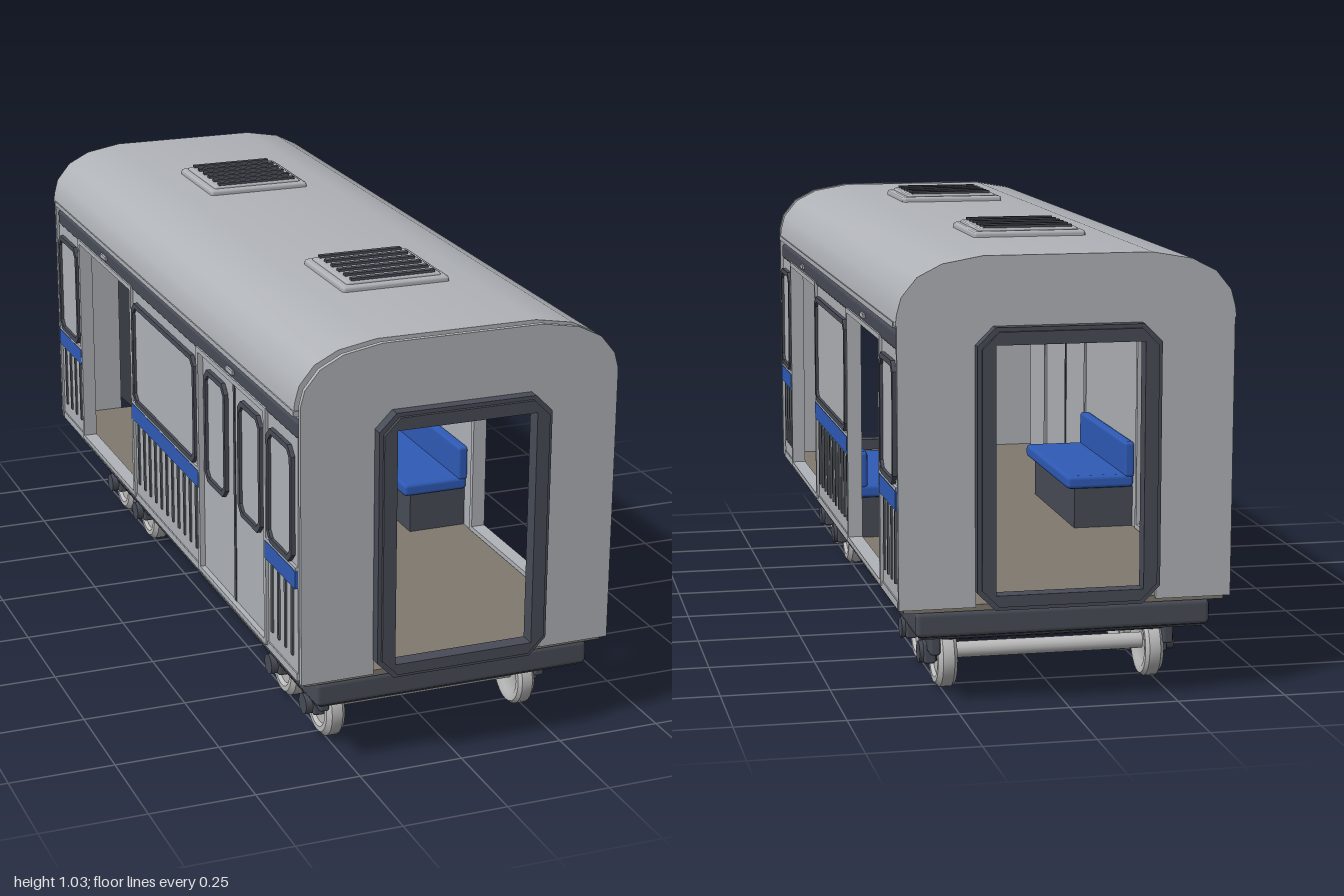
import * as THREE from 'three';
import { toCreasedNormals } from 'three/addons/utils/BufferGeometryUtils.js';
import { RoundedBoxGeometry } from 'three/addons/geometries/RoundedBoxGeometry.js';

const mat = (name, color) => new THREE.MeshStandardMaterial({ name, color });

export function createModel() {
  const silver = mat('silver panel', 0xb0b3b8);
  const slate = mat('dark slate', 0x484c56);
  const blue = mat('blue', 0x2f5bb7);
  const tan = mat('floor tan', 0x7f796e);
  const steel = mat('wheel steel', 0xbcbcbc);
  const groove = mat('groove grey', 0x5c6066);
  const black = mat('underside', 0x36383e);

  const car = new THREE.Group();
  car.name = 'railCar';

  const add = (parent, name, geo, m, x = 0, y = 0, z = 0) => {
    const mesh = new THREE.Mesh(geo, m);
    mesh.name = name;
    mesh.position.set(x, y, z);
    parent.add(mesh);
    return mesh;
  };
  // Box given by its limits on each axis
  const box = (parent, name, m, x0, x1, y0, y1, z0, z1, r = 0) => {
    const [w, h, d] = [x1 - x0, y1 - y0, z1 - z0];
    const geo = r ? new RoundedBoxGeometry(w, h, d, 1, r) : new THREE.BoxGeometry(w, h, d);
    return add(parent, name, geo, m, (x0 + x1) / 2, (y0 + y1) / 2, (z0 + z1) / 2);
  };
  const poly = (pts) => pts.map(([x, y]) => new THREE.Vector2(x, y));
  const extrude = (outer, hole, depth) => {
    const s = new THREE.Shape(poly(outer));
    if (hole) s.holes.push(new THREE.Path(poly(hole)));
    return toCreasedNormals(new THREE.ExtrudeGeometry(s, { depth, bevelEnabled: false }), 0.7);
  };
  // Rectangle with cut corners, counter-clockwise
  const octagon = (x0, x1, y0, y1, c) => [
    [x0 + c, y0], [x1 - c, y0], [x1, y0 + c], [x1, y1 - c],
    [x1 - c, y1], [x0 + c, y1], [x0, y1 - c], [x0, y0 + c]];
  const rect = (x0, x1, y0, y1) => [[x0, y0], [x1, y0], [x1, y1], [x0, y1]];

  // Curved roof shell
  const half = [[0.383, 0.86], [0.38, 0.885], [0.37, 0.922], [0.335, 0.965], [0.28, 0.993], [0.19, 1.009]];
  const arch = [...half, ...half.map(([x, y]) => [-x, y]).reverse()];
  const inner = arch.map(([x, y]) => [x * 0.965, y > 0.87 ? y - 0.012 : y]).reverse();
  add(car, 'roof', extrude([...arch, ...inner], null, 1.895), silver, 0, 0, -0.965);

  // Roof vents with slats
  for (const s of [1, -1]) {
    const z = s * 0.462;
    box(car, 'roofVent', silver, -0.133, 0.133, 0.995, 1.022, z - 0.128, z + 0.128, 0.008);
    box(car, 'roofVentTop', silver, -0.118, 0.118, 1.01, 1.028, z - 0.113, z + 0.113, 0.006);
    for (let i = 0; i < 6; i++) {
      const sz = z + (i - 2.5) * 0.04;
      box(car, 'ventSlat', slate, -0.104, 0.104, 1.026, 1.034, sz - 0.007, sz + 0.007);
    }
  }

  // End walls with gangway frames
  const wall = [
    [-0.378, 0.23], [-0.205, 0.23], [-0.205, 0.81], [-0.165, 0.85], [0.165, 0.85],
    [0.205, 0.81], [0.205, 0.23], [0.378, 0.23], [0.38, 0.86], ...arch.slice(1, -1), [-0.38, 0.86]];
  const gangway = octagon(-0.207, 0.207, 0.227, 0.855, 0.04);
  const gangwayLip = octagon(-0.198, 0.198, 0.236, 0.846, 0.038);
  const opening = rect(-0.167, 0.167, 0.262, 0.817);
  for (const s of [1, -1]) {
    const end = new THREE.Group();
    end.name = s > 0 ? 'frontEnd' : 'backEnd';
    end.rotation.y = s > 0 ? 0 : Math.PI;
    add(end, 'endWall', extrude(wall, null, 0.012), silver, 0, 0, 0.953);
    add(end, 'gangwayFrame', extrude(gangway, opening, 0.03), slate, 0, 0, 0.962);
    add(end, 'gangwayLip', extrude(gangwayLip, opening, 0.01), slate, 0, 0, 0.99);
    car.add(end);
  }

  // Floor and underframe
  box(car, 'floor', tan, -0.365, 0.365, 0.22, 0.234, -0.953, 0.953);
  box(car, 'underframe', slate, -0.337, 0.337, 0.16, 0.22, -0.95, 0.95, 0.012);
  box(car, 'underframePlate', black, -0.322, 0.322, 0.155, 0.162, -0.935, 0.935);

  // Window: rounded dark ring, inner lip and glass on local z
  const makeWindow = (parent, u0, u1, y0, y1, z) => {
    add(parent, 'windowFrame', extrude(octagon(u0, u1, y0, y1, 0.022),
      octagon(u0 + 0.013, u1 - 0.013, y0 + 0.013, y1 - 0.013, 0.016), 0.01), slate, 0, 0, z);
    box(parent, 'windowGlass', silver, u0 + 0.01, u1 - 0.01, y0 + 0.01, y1 - 0.01, z, z + 0.003);
  };

  // Side walls: local x runs along the car, local z points outward
  for (const s of [1, -1]) {
    const side = new THREE.Group();
    side.name = s > 0 ? 'leftSide' : 'rightSide';
    side.rotation.y = s * Math.PI / 2;
    const span = (a, b) => [Math.min(-s * a, -s * b), Math.max(-s * a, -s * b)];

    const [r0, r1] = span(-0.945, 0.935);
    box(side, 'header', silver, r0, r1, 0.80, 0.875, 0.345, 0.366);
    box(side, 'doorRail', slate, r0, r1, 0.803, 0.842, 0.35, 0.377, 0.006);
    box(side, 'gutter', silver, r0, r1, 0.855, 0.867, 0.365, 0.385);
    box(side, 'sill', silver, r0, r1, 0.228, 0.246, 0.35, 0.377);

    const panels = [[0.935, 0.74, 4], [0.27, -0.265, 11], [-0.735, -0.948, 4]];
    for (const [a, b, ribs] of panels) {
      const [u0, u1] = span(a, b);
      box(side, 'wallPanel', silver, u0, u1, 0.24, 0.805, 0.35, 0.374);
      box(side, 'blueBand', blue, u0, u1, 0.452, 0.495, 0.374, 0.382);
      box(side, 'bandTrim', silver, u0, u1, 0.495, 0.503, 0.37, 0.381);
      makeWindow(side, u0 + 0.018, u1 - 0.018, 0.503, 0.778, 0.374);
      for (let i = 0; i < ribs; i++) {
        const u = u0 + (u1 - u0) * (i + 0.75) / (ribs + 0.5);
        box(side, 'panelGroove', groove, u - 0.005, u + 0.005, 0.28, 0.445, 0.374, 0.378);
      }
    }

    // Doorway trims
    for (const c of [0.504, -0.5]) {
      const [d0, d1] = span(c + 0.237, c - 0.237);
      add(side, 'doorwayTrim', extrude(rect(d0 - 0.004, d1 + 0.004, 0.236, 0.812),
        rect(d0 + 0.01, d1 - 0.01, 0.248, 0.8), 0.035), silver, 0, 0, 0.346);
      const u = (d0 + d1) / 2;
      box(side, 'doorLamp', silver, u - 0.024, u + 0.024, 0.82, 0.83, 0.375, 0.382);
    }

    // Closed pair of doors on the right side
    if (s < 0) {
      for (const [a, b] of [[0.268, 0.5], [0.508, 0.74]]) {
        box(side, 'doorLeaf', silver, a, b, 0.246, 0.802, 0.352, 0.368);
        makeWindow(side, a + 0.04, b - 0.04, 0.488, 0.772, 0.368);
      }
      box(side, 'doorSeal', slate, 0.498, 0.51, 0.246, 0.802, 0.35, 0.37);
      // Thin inward-facing seal in the open doorway
      const seal = add(side, 'openDoorSeal', new THREE.PlaneGeometry(0.012, 0.554), slate, -0.5, 0.524, 0.355);
      seal.rotation.y = Math.PI;
    }

    // Bench under the middle window
    box(side, 'benchBase', slate, -0.22, 0.22, 0.234, 0.335, 0.2, 0.35);
    box(side, 'benchCushion', blue, -0.235, 0.235, 0.335, 0.368, 0.178, 0.35, 0.01);
    box(side, 'benchBack', blue, -0.235, 0.235, 0.36, 0.45, 0.325, 0.352, 0.008);
    car.add(side);
  }

  // Equipment boxes below the floor
  for (const z of [0.262, -0.262]) {
    box(car, 'equipmentBox', silver, -0.21, 0.21, 0.13, 0.16, z - 0.13, z + 0.13, 0.008);
    box(car, 'equipmentCover', black, -0.198, 0.198, 0.126, 0.132, z - 0.118, z + 0.118);
  }

  // Wheel profile: flange inside, tread outside
  const wheelGeo = toCreasedNormals(new THREE.LatheGeometry(poly([
    [0, -0.016], [0.045, -0.016], [0.055, -0.022], [0.068, -0.022], [0.075, -0.014],
    [0.075, 0.012], [0.064, 0.022], [0.052, 0.022], [0.045, 0.014], [0, 0.014]]), 24), 0.6);
  const axleGeo = new THREE.CylinderGeometry(0.019, 0.019, 0.46, 12);
  const hubGeo = new THREE.CylinderGeometry(0.026, 0.026, 0.04, 8);

  // Bogies
  for (const s of [1, -1]) {
    const bogie = new THREE.Group();
    bogie.name = s > 0 ? 'frontBogie' : 'backBogie';
    bogie.position.z = s * 0.648;
    box(bogie, 'bolster', slate, -0.262, 0.262, 0.125, 0.16, -0.19, 0.19, 0.008);
    for (const side of [1, -1]) {
      const x = side * 0.272;
      box(bogie, 'sideFrame', slate, x - 0.012, x + 0.012, 0.09, 0.138, -0.19, 0.19, 0.006);
      for (const z of [0.116, -0.116]) {
        const wheel = add(bogie, 'wheel', wheelGeo, steel, side * 0.242, 0.075, z);
        wheel.rotation.z = -side * Math.PI / 2;
        const hub = add(bogie, 'axleHub', hubGeo, slate, side * 0.279, 0.083, z);
        hub.rotation.z = Math.PI / 2;
        box(bogie, 'axleBox', slate, x - 0.01, x + 0.018, 0.06, 0.11, z - 0.03, z + 0.03, 0.006);
      }
    }
    for (const z of [0.116, -0.116]) {
      add(bogie, 'axle', axleGeo, steel, 0, 0.083, z).rotation.z = Math.PI / 2;
    }
    car.add(bogie);
  }
  return car;
}
